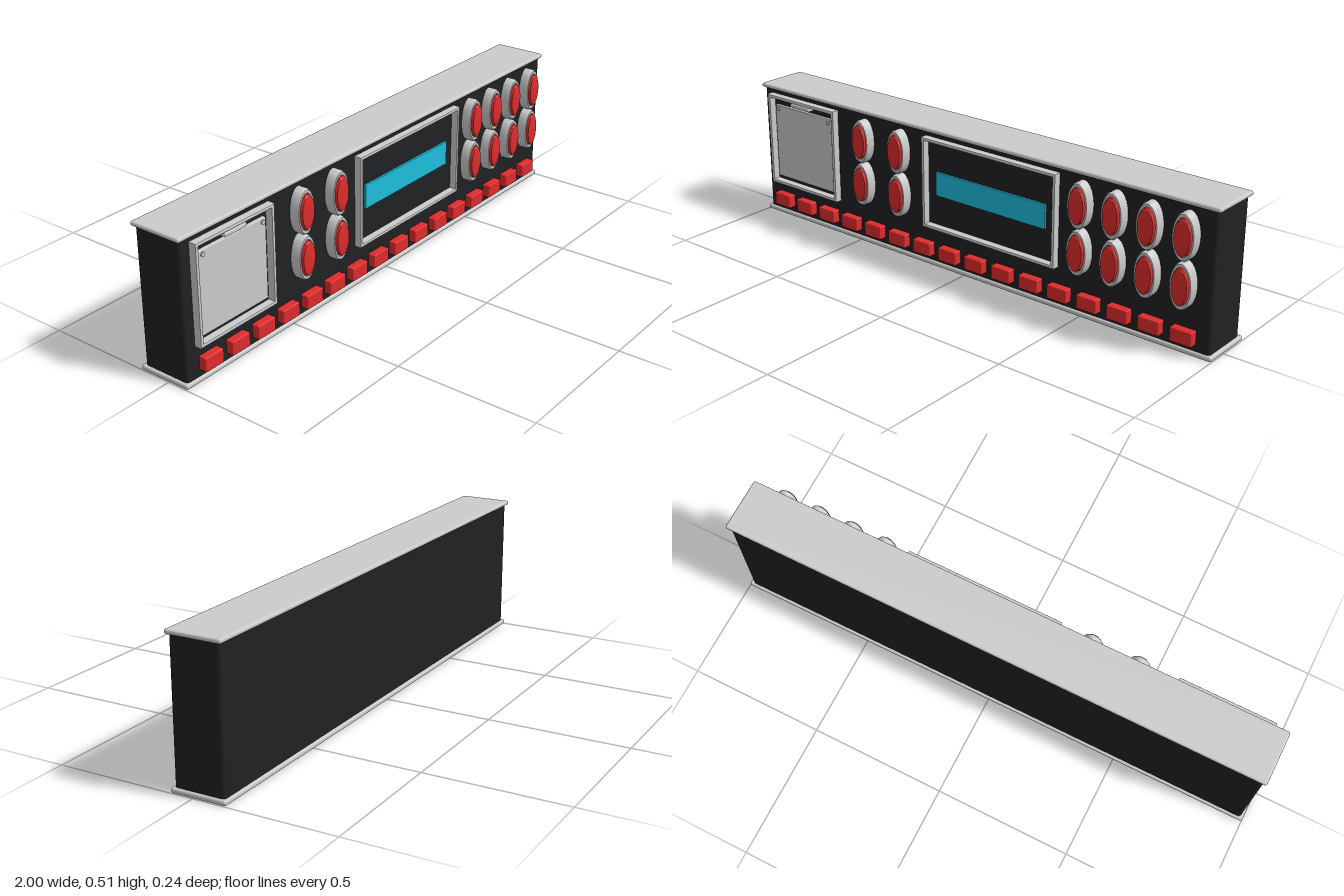
import * as THREE from 'three';
import { toCreasedNormals } from 'three/addons/utils/BufferGeometryUtils.js';
import { RoundedBoxGeometry } from 'three/addons/geometries/RoundedBoxGeometry.js';

const grey = new THREE.MeshStandardMaterial({ color: 0xcccccc });
const black = new THREE.MeshStandardMaterial({ color: 0x202124 });
const red = new THREE.MeshStandardMaterial({ color: 0xe02c2c });
const cyan = new THREE.MeshStandardMaterial({ color: 0x1fc0de });

export function createModel() {
  const model = new THREE.Group();

  const add = (name, geometry, material, parent = model) => {
    const mesh = new THREE.Mesh(geometry, material);
    mesh.name = name;
    parent.add(mesh);
    return mesh;
  };

  // Box given by its limits, optionally with rounded edges
  const box = (name, material, [x0, x1], [y0, y1], [z0, z1], radius = 0) => {
    const size = [x1 - x0, y1 - y0, z1 - z0];
    const geometry = radius
      ? new RoundedBoxGeometry(...size, 3, radius)
      : new THREE.BoxGeometry(...size);
    const mesh = add(name, geometry, material);
    mesh.position.set((x0 + x1) / 2, (y0 + y1) / 2, (z0 + z1) / 2);
    return mesh;
  };

  // Rectangular bevelled frame standing on the front face
  const frame = (name, [x0, x1], [y0, y1], width) => {
    const b = 0.004;
    const rect = (Type, inset) => {
      const path = new Type();
      path.moveTo(x0 + inset, y0 + inset);
      path.lineTo(x1 - inset, y0 + inset);
      path.lineTo(x1 - inset, y1 - inset);
      path.lineTo(x0 + inset, y1 - inset);
      path.closePath();
      return path;
    };
    const shape = rect(THREE.Shape, b);
    shape.holes.push(rect(THREE.Path, width - b));
    const geometry = new THREE.ExtrudeGeometry(shape, {
      depth: 0.028, bevelThickness: b, bevelSize: b, bevelSegments: 2,
    });
    add(name, geometry, grey).position.z = 0.067;
  };

  // Cabinet between two rounded plates
  box('cabinet', black, [-0.99, 0.99], [0.005, 0.508], [-0.109, 0.072], 0.012);
  box('bottomPlate', grey, [-1, 1], [0, 0.018], [-0.118, 0.08], 0.007);
  box('topPlate', grey, [-1, 1], [0.498, 0.514], [-0.118, 0.08], 0.007);

  // Hatch at the model's right, with handle and two screws
  frame('hatchFrame', [-0.95, -0.602], [0.13, 0.484], 0.013);
  box('hatchPanel', grey, [-0.925, -0.628], [0.158, 0.444], [0.06, 0.084], 0.003);
  box('hatchHandle', grey, [-0.826, -0.73], [0.455, 0.47], [0.06, 0.1], 0.004);
  for (const x of [-0.908, -0.643]) {
    const screw = add('hatchScrew', new THREE.CylinderGeometry(0.008, 0.008, 0.022, 16), grey);
    screw.rotation.x = Math.PI / 2;
    screw.position.set(x, 0.43, 0.077);
  }

  // Display
  frame('displayFrame', [-0.172, 0.405], [0.15, 0.484], 0.012);
  box('displayScreen', cyan, [-0.121, 0.353], [0.274, 0.361], [0.06, 0.08]);

  // Oval push buttons: turned profiles stretched upright
  const turned = (profile) => {
    const points = profile.map(([r, h]) => new THREE.Vector2(r, h));
    const geometry = new THREE.LatheGeometry(points, 40);
    geometry.rotateX(Math.PI / 2);
    geometry.scale(0.5, 1, 1);
    return toCreasedNormals(geometry, 0.6);
  };
  const bezelGeometry = turned([
    [0.081, 0.07], [0.081, 0.1], [0.076, 0.108], [0.066, 0.108], [0.064, 0.1], [0, 0.1],
  ]);
  const capGeometry = turned([
    [0.063, 0.1], [0.0625, 0.112], [0.058, 0.116], [0.04, 0.1185], [0.02, 0.1195], [0, 0.12],
  ]);
  for (const x of [-0.462, -0.288, 0.5, 0.631, 0.762, 0.893]) {
    for (const y of [0.402, 0.238]) {
      const button = new THREE.Group();
      button.name = 'ovalButton';
      button.position.set(x, y, 0);
      add('buttonBezel', bezelGeometry, grey, button);
      add('buttonCap', capGeometry, red, button);
      model.add(button);
    }
  }

  // Row of small keys along the bottom
  for (let i = 0; i < 16; i++) {
    const x = -0.896 + i * 0.1197;
    box('key', red, [x - 0.04, x + 0.04], [0.04, 0.09], [0.066, 0.101], 0.004);
  }

  return model;
}
